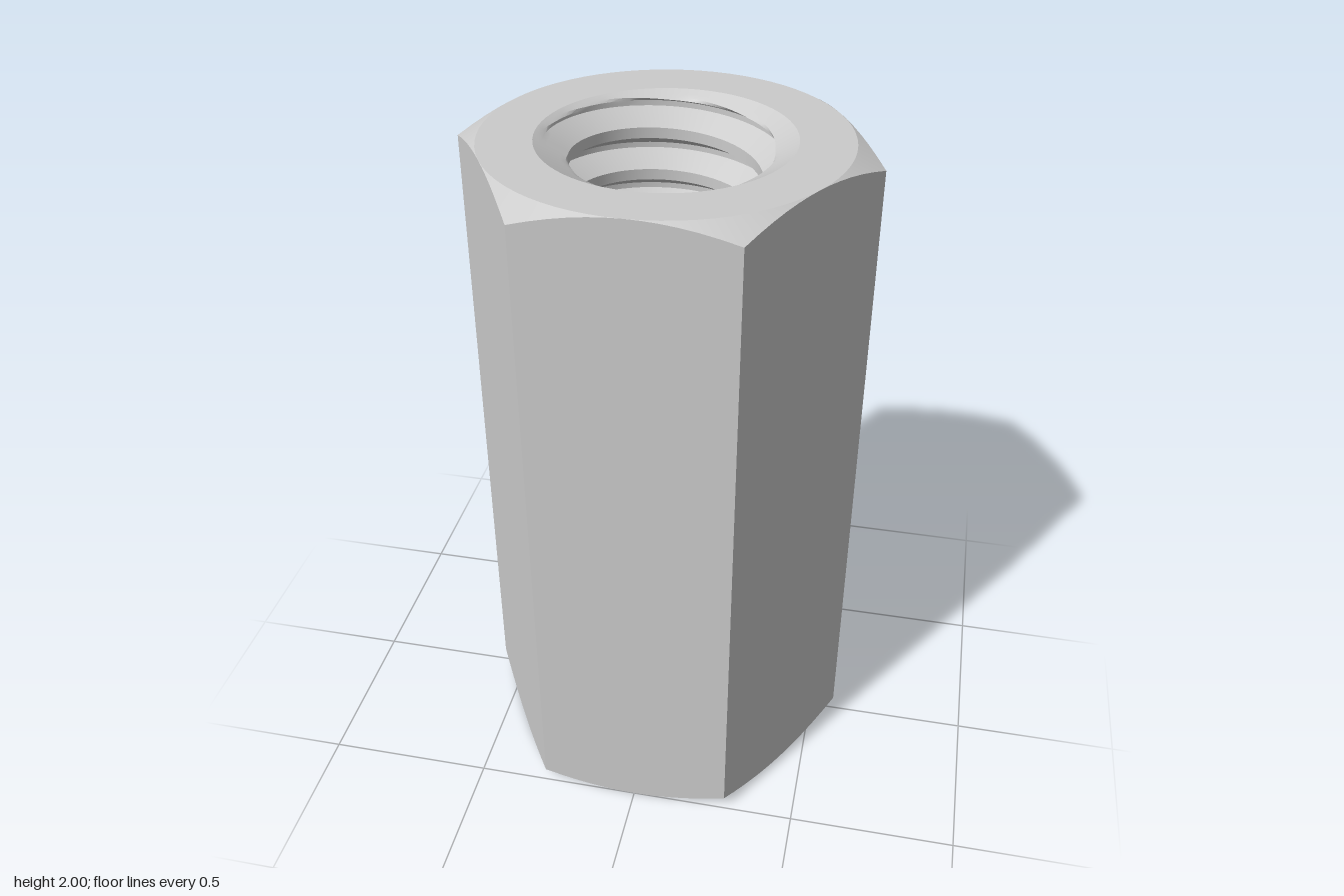
import * as THREE from 'three';
import { toCreasedNormals } from 'three/addons/utils/BufferGeometryUtils.js';

const HEIGHT = 2, APOTHEM = 0.5, SEGMENTS = 72;
const MINOR = 0.26, MAJOR = 0.328, MOUTH = 0.35, PITCH = 0.125, PHASE = 0.806;
const TAN30 = Math.tan(Math.PI / 6);
const CREASE = 0.4;

// Hexagonal sleeve: a lathe whose wall is pushed onto six flats,
// with its corners cut back by a 30 degree cone at both ends.
function createHexBody() {
  const profile = [
    [MOUTH, 0], [APOTHEM, 0], [0.55, 0], [0.55, HEIGHT], [APOTHEM, HEIGHT], [MOUTH, HEIGHT],
  ].map(([r, y]) => new THREE.Vector2(r, y));
  const geometry = new THREE.LatheGeometry(profile, SEGMENTS);
  const pos = geometry.attributes.position;
  for (let i = 0; i < pos.count; i++) {
    const x = pos.getX(i), z = pos.getZ(i);
    if (Math.hypot(x, z) < 0.52) continue;
    const angle = Math.atan2(x, z);
    const side = Math.PI / 3;
    const fromFlat = angle - Math.round(angle / side) * side;
    const r = APOTHEM / Math.cos(fromFlat);
    const drop = (r - APOTHEM) * TAN30;
    const y = pos.getY(i) < 1 ? drop : HEIGHT - drop;
    pos.setXYZ(i, r * Math.sin(angle), y, r * Math.cos(angle));
  }
  return toCreasedNormals(geometry, CREASE);
}

// Thread radius across one pitch: crest flat, flank, root flat, flank.
function threadRadius(f) {
  if (f <= 0.25) return MINOR;
  if (f < 0.5625) return THREE.MathUtils.lerp(MINOR, MAJOR, (f - 0.25) / 0.3125);
  if (f <= 0.6875) return MAJOR;
  return THREE.MathUtils.lerp(MAJOR, MINOR, (f - 0.6875) / 0.3125);
}

// Right-hand internal thread, opened at both ends by a countersink.
function createThread() {
  const steps = 16;
  const rows = (Math.ceil(HEIGHT / PITCH) + 3) * steps;
  const points = [], index = [];
  for (let row = 0; row <= rows; row++) {
    const turn = row / steps - 2;
    const radius = threadRadius((row % steps) / steps);
    for (let s = 0; s <= SEGMENTS; s++) {
      const angle = (s / SEGMENTS) * Math.PI * 2;
      const y = THREE.MathUtils.clamp(PITCH * (turn + PHASE + s / SEGMENTS), 0, HEIGHT);
      const countersink = MOUTH - Math.min(y, HEIGHT - y) / TAN30;
      const r = Math.max(radius, countersink);
      points.push(r * Math.cos(angle), y, -r * Math.sin(angle));
    }
  }
  const isFlat = (...ids) => ids.every((i) => points[i * 3 + 1] === points[ids[0] * 3 + 1]);
  for (let row = 0; row < rows; row++) {
    for (let s = 0; s < SEGMENTS; s++) {
      const a = row * (SEGMENTS + 1) + s, b = a + 1;
      const c = a + SEGMENTS + 1, d = c + 1;
      if (!isFlat(a, c, b)) index.push(a, c, b);
      if (!isFlat(b, c, d)) index.push(b, c, d);
    }
  }
  const geometry = new THREE.BufferGeometry();
  geometry.setAttribute('position', new THREE.Float32BufferAttribute(points, 3));
  geometry.setIndex(index);
  return toCreasedNormals(geometry, CREASE);
}

export function createModel() {
  const group = new THREE.Group();
  group.name = 'couplingNut';
  const material = new THREE.MeshStandardMaterial({ color: 0xcccccc });
  const addPart = (name, geometry) => {
    const mesh = new THREE.Mesh(geometry, material);
    mesh.name = name;
    group.add(mesh);
  };
  addPart('hexBody', createHexBody());
  addPart('internalThread', createThread());
  return group;
}
